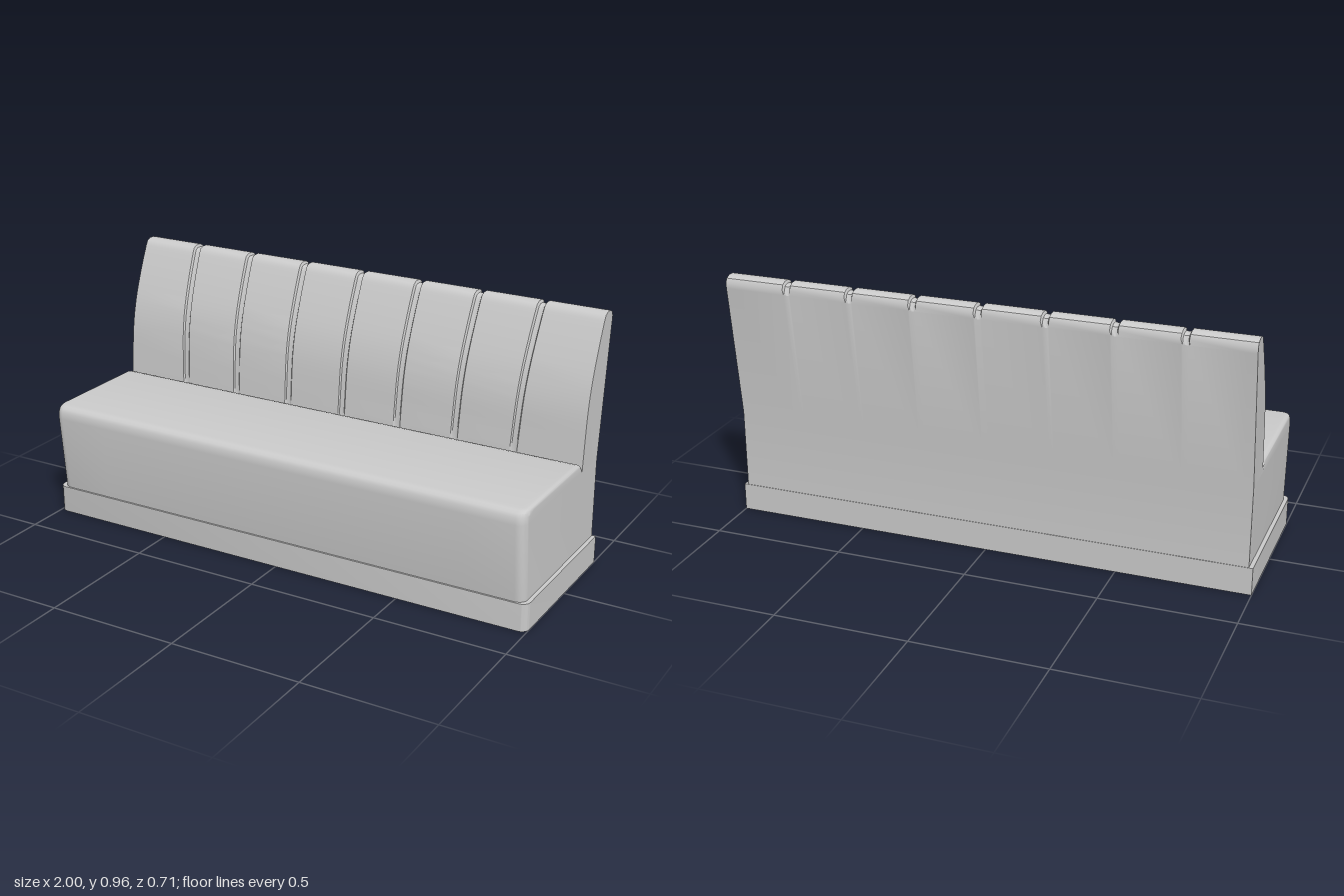
import * as THREE from 'three';
import { toCreasedNormals } from 'three/addons/utils/BufferGeometryUtils.js';

const HALF = 0.985;      // half length of the upholstered body
const CORNER = 0.035;    // rounding of the front vertical corners
const EDGE = 0.012;      // rounding of the seat ends
const FLUTE_STEP = 0.247;

// Side outline as points { z, y, part }, from the back's foot over the top to the front's foot
function sideProfile() {
  const tag = (part) => ([z, y]) => ({ z, y, part });
  const back = [[-0.29, 0.1], [-0.29, 0.41], [-0.353, 0.92]].map(tag('back'));
  const crown = [[-0.355, 0.94], [-0.346, 0.957], [-0.328, 0.965], [-0.302, 0.965], [-0.286, 0.957]].map(tag('rest'));
  const curve = new THREE.SplineCurve([
    [-0.276, 0.94], [-0.24, 0.86], [-0.203, 0.765], [-0.181, 0.69], [-0.166, 0.61], [-0.155, 0.5], [-0.147, 0.41],
  ].map(([z, y]) => new THREE.Vector2(z, y)));
  const rest = curve.getPoints(20).map((p) => ({ z: p.x, y: p.y, part: 'rest' }));
  const seat = [[-0.141, 0.432], [-0.129, 0.445], [-0.11, 0.45], [0.315, 0.45], [0.334, 0.447], [0.346, 0.44]].map(tag('seat'));
  const front = [[0.353, 0.427], [0.356, 0.4], [0.33, 0.1]].map(tag('front'));
  return [...back, ...crown, ...rest, ...seat, ...front];
}

// Stations along x: rounded ends plus the flutes, each with its groove strength
function stations() {
  const list = [];
  for (let i = 0; i <= 6; i++) {
    const a = (i / 6) * Math.PI / 2;
    list.push({ x: HALF - CORNER * (1 - Math.sin(a)), groove: 0 });
  }
  list.push({ x: HALF - 0.004, groove: 0 });
  list.push(...list.map((s) => ({ x: -s.x, groove: 0 })));
  for (let k = -3; k <= 3; k++) {
    for (const [dx, groove] of [[-0.015, 0], [-0.01, 0.85], [0, 1], [0.01, 0.85], [0.015, 0]]) {
      list.push({ x: k * FLUTE_STEP + dx, groove });
    }
  }
  return list.sort((a, b) => a.x - b.x);
}

// How far a quarter round of radius r has dropped at distance d from the end
const roundOff = (d, r) => (d >= r ? 0 : r - Math.sqrt(Math.max(0, r * r - (r - d) ** 2)));

function bodyGeometry() {
  const profile = sideProfile();
  const rows = stations();
  const n = profile.length;

  const rings = rows.map(({ x, groove }) => profile.map((p, j) => {
    const d = HALF - Math.abs(x);
    let px = x, { y, z } = p;
    if (p.part === 'seat' || p.part === 'front') {
      if (z > 0.3) z -= roundOff(d, CORNER);
      if (p.part === 'seat') y -= roundOff(d, EDGE);
    }
    if (p.part === 'rest') {
      // flutes lean slightly inward and get shallower toward the seat
      const down = THREE.MathUtils.clamp((0.965 - y) / 0.555, 0, 1);
      px -= 0.035 * x * down * THREE.MathUtils.clamp(d / 0.2, 0, 1);
      const a = profile[j - 1], b = profile[j + 1];
      const len = Math.hypot(b.z - a.z, b.y - a.y);
      const depth = groove * THREE.MathUtils.lerp(0.012, 0.004, down);
      z += ((b.y - a.y) / len) * depth;
      y -= ((b.z - a.z) / len) * depth;
    }
    return new THREE.Vector3(px, y, z);
  }));

  const pos = [];
  const tri = (...pts) => pts.forEach((p) => pos.push(p.x, p.y, p.z));
  for (let i = 0; i < rings.length - 1; i++) {
    for (let j = 0; j < n - 1; j++) {
      const a = rings[i][j], b = rings[i][j + 1], c = rings[i + 1][j + 1], d = rings[i + 1][j];
      tri(a, b, c);
      tri(a, c, d);
    }
  }
  // end panels; the underside stays open
  const left = rings[rings.length - 1], right = rings[0];
  const outline = left.map((p) => new THREE.Vector2(-p.z, p.y));
  for (const [a, b, c] of THREE.ShapeUtils.triangulateShape(outline, [])) {
    tri(left[a], left[b], left[c]);
    tri(right[a], right[c], right[b]);
  }
  const geo = new THREE.BufferGeometry();
  geo.setAttribute('position', new THREE.Float32BufferAttribute(pos, 3));
  return toCreasedNormals(geo, 0.6);
}

// Plan outline with rounded front corners; the shape's y is -z
function plan(Path, w, back, front, r) {
  const s = new Path();
  s.moveTo(-w, -back);
  s.lineTo(-w, -front + r);
  s.absarc(-w + r, -front + r, r, Math.PI, Math.PI * 1.5, false);
  s.lineTo(w - r, -front);
  s.absarc(w - r, -front + r, r, Math.PI * 1.5, Math.PI * 2, false);
  s.lineTo(w, -back);
  s.closePath();
  return s;
}

function plinthGeometry() {
  const shape = plan(THREE.Shape, 1, -0.292, 0.337, 0.03);
  shape.holes.push(plan(THREE.Path, 0.975, -0.275, 0.315, 0.015));
  const geo = new THREE.ExtrudeGeometry(shape, { depth: 0.105, bevelEnabled: false, curveSegments: 6 });
  geo.rotateX(-Math.PI / 2);
  return toCreasedNormals(geo, 0.6);
}

export function createModel() {
  const material = new THREE.MeshStandardMaterial({ color: 0xcccccc, side: THREE.DoubleSide });
  const group = new THREE.Group();
  group.name = 'bench';
  const add = (name, geometry) => {
    const mesh = new THREE.Mesh(geometry, material);
    mesh.name = name;
    group.add(mesh);
  };
  add('seatAndBackrest', bodyGeometry());
  add('plinth', plinthGeometry());
  return group;
}
